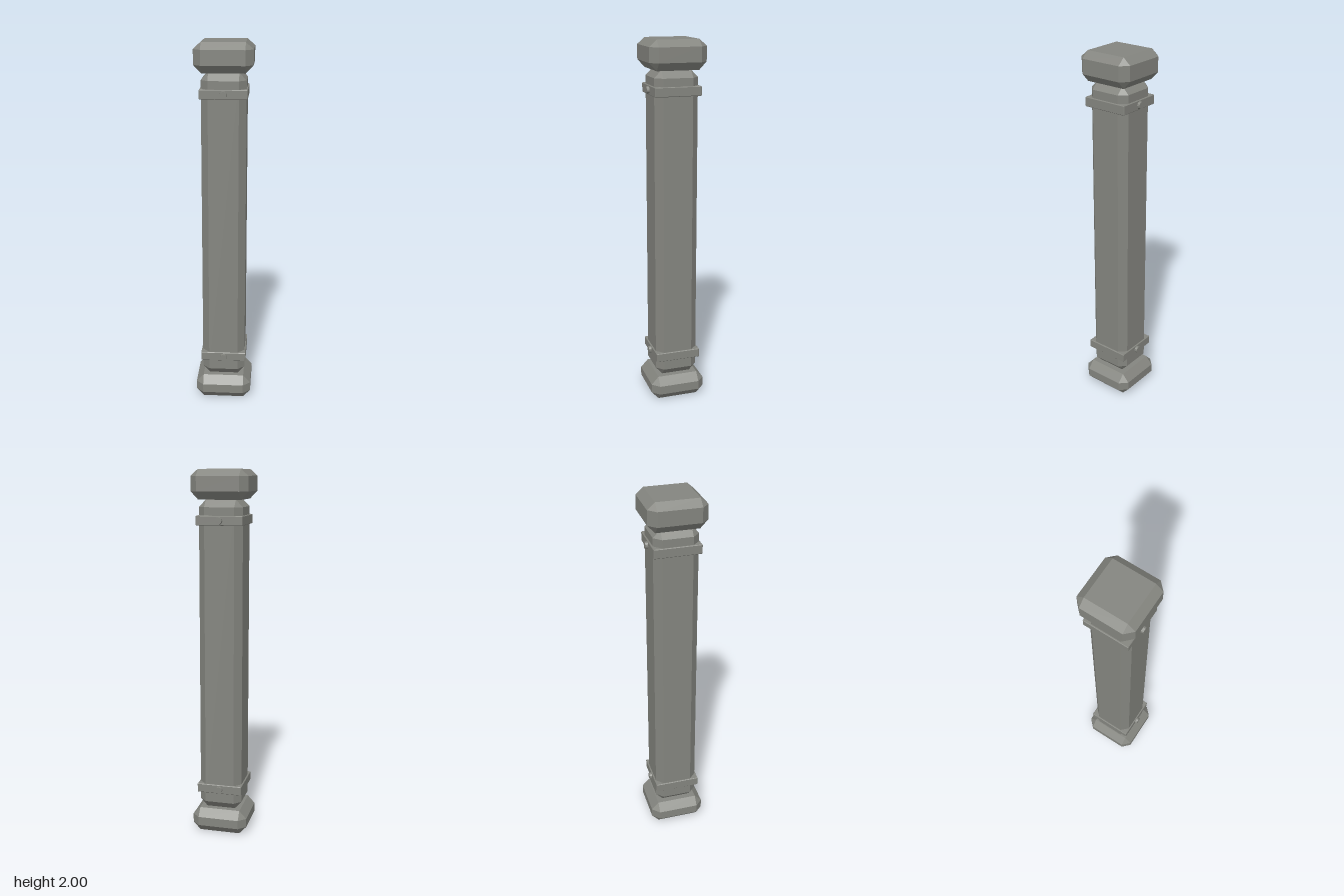
import * as THREE from 'three';

// Box with every edge chamfered: w = half width, c = side chamfer,
// lower / upper = heights of the bottom and top chamfers.
function chamferedBlock(w, c, y0, y1, lower, upper) {
  const i = w - c;
  const ring = (y, r) => {
    const pts = [];
    for (const [sx, sz] of [[1, 1], [1, -1], [-1, -1], [-1, 1]]) {
      const a = [sx * i, y, sz * r], b = [sx * r, y, sz * i];
      pts.push(...(sx * sz > 0 ? [a, b] : [b, a]));
    }
    return pts;
  };
  const rings = [ring(y0, i), ring(y0 + lower, w), ring(y1 - upper, w), ring(y1, i)];
  const pos = [];
  const tri = (a, b, d) => pos.push(...a, ...b, ...d);
  const same = (a, b) => a.every((v, k) => Math.abs(v - b[k]) < 1e-9);
  for (let r = 0; r < 3; r++) {
    for (let k = 0; k < 8; k++) {
      const n = (k + 1) % 8;
      const a = rings[r][k], b = rings[r][n], d = rings[r + 1][n], e = rings[r + 1][k];
      if (!same(a, b)) tri(a, b, d);
      if (!same(d, e)) tri(a, d, e);
    }
  }
  // flat end faces
  const [bot, , , top] = rings;
  tri(top[0], top[2], top[4]);
  tri(top[0], top[4], top[6]);
  tri(bot[0], bot[4], bot[2]);
  tri(bot[0], bot[6], bot[4]);
  const g = new THREE.BufferGeometry();
  g.setAttribute('position', new THREE.Float32BufferAttribute(pos, 3));
  g.computeVertexNormals();
  return g;
}

export function createModel() {
  const model = new THREE.Group();
  model.name = 'pillar';
  const stone = new THREE.MeshStandardMaterial({ color: 0x84857f, flatShading: true });
  stone.name = 'grey stone';

  const add = (name, geometry) => {
    const mesh = new THREE.Mesh(geometry, stone);
    mesh.name = name;
    model.add(mesh);
    return mesh;
  };

  // Main blocks
  add('base', chamferedBlock(0.153, 0.04, 0, 0.135, 0.043, 0.043));
  add('shaft', chamferedBlock(0.118, 0.038, 0.135, 1.845, 0.042, 0.038));
  add('capital', chamferedBlock(0.153, 0.04, 1.845, 2, 0.042, 0.035));

  // Square bands, each with a rivet on the front and back
  for (const [label, y] of [['lower', 0.257], ['upper', 1.739]]) {
    add(label + 'Band', chamferedBlock(0.125, 0.003, y - 0.025, y + 0.025, 0.003, 0.003));
    for (const side of [1, -1]) {
      const rivet = add(label + (side > 0 ? 'FrontRivet' : 'BackRivet'),
        new THREE.CylinderGeometry(0.018, 0.021, 0.026, 12));
      rivet.rotation.x = side * Math.PI / 2;
      rivet.position.set(0, y, side * 0.126);
    }
  }
  return model;
}
